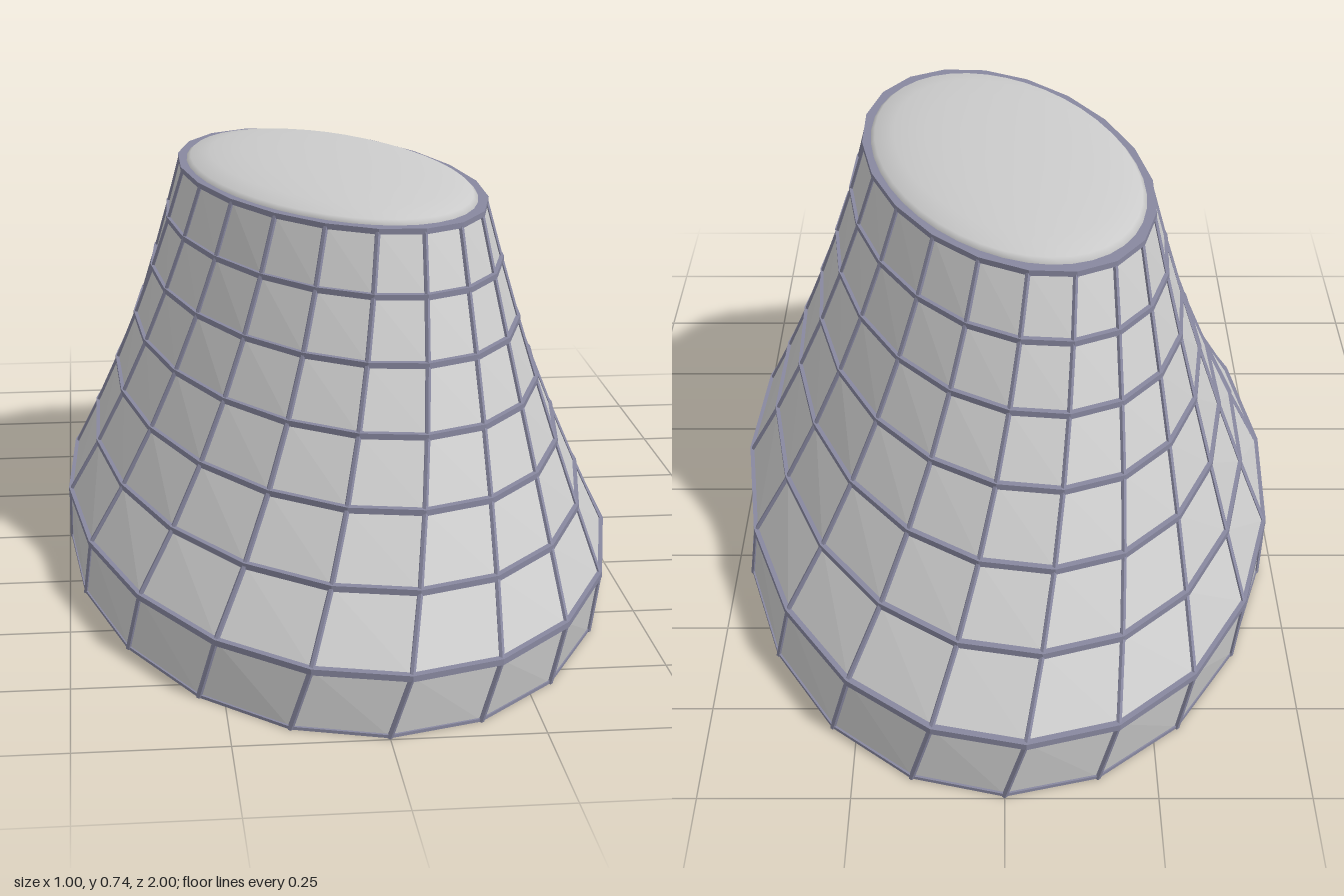
import * as THREE from 'three';
import { mergeGeometries } from 'three/addons/utils/BufferGeometryUtils.js';

const SIDES = 20, FLOORS = 7, STEP = 0.1, R = 0.99;
const TWIST = THREE.MathUtils.degToRad(2);

// Size of the oval at a floor: straight ground floor, then halving over six floors
const sizeAt = (k) => R * Math.pow(0.5, Math.max(0, k - 1) / (FLOORS - 1));

// Corner i of the twisted oval at floor k
function corner(i, k) {
  const t = (i / SIDES) * Math.PI * 2, s = sizeAt(k);
  return new THREE.Vector3(0.5 * s * Math.sin(t), k * STEP, s * Math.cos(t))
    .applyAxisAngle(new THREE.Vector3(0, 1, 0), k * TWIST);
}

// Flat band running round the oval at floor k
function ringGeometry(k) {
  const s = sizeAt(k), h = 0.005;
  const profile = [[s + 0.01, -h], [s + 0.01, h], [s - 0.025, h], [s - 0.025, -h], [s + 0.01, -h]]
    .map(([x, y]) => new THREE.Vector2(x, y));
  return new THREE.LatheGeometry(profile, SIDES)
    .scale(0.5, 1, 1).rotateY(k * TWIST).translate(0, k * STEP, 0);
}

// Strut with an oval cross-section between two corners
function strutGeometry(a, b) {
  const g = new THREE.CylinderGeometry(1, 1, 1, 6, 1, true);
  const pos = g.attributes.position, p = new THREE.Vector3();
  for (let v = 0; v < pos.count; v++) {
    p.lerpVectors(a, b, pos.getY(v) + 0.5);
    pos.setXYZ(v, p.x + pos.getX(v) * 0.005, p.y, p.z + pos.getZ(v) * 0.01);
  }
  g.computeVertexNormals();
  return g;
}

export function createModel() {
  const group = new THREE.Group();
  const panelMat = new THREE.MeshStandardMaterial({ color: 0xcccccc, flatShading: true });
  const roofMat = new THREE.MeshStandardMaterial({ color: 0xcccccc });
  const frameMat = new THREE.MeshStandardMaterial({ color: 0x8888a0, flatShading: true });
  const add = (name, geometry, material) => {
    const mesh = new THREE.Mesh(geometry, material);
    mesh.name = name;
    group.add(mesh);
  };

  // Wall panels and the struts between them
  const struts = [], verts = [];
  for (let k = 0; k < FLOORS; k++) {
    for (let i = 0; i < SIDES; i++) {
      const a = corner(i, k), b = corner(i + 1, k);
      const c = corner(i + 1, k + 1), d = corner(i, k + 1);
      for (const p of [a, b, d, b, c, d]) verts.push(p.x, p.y, p.z);
      struts.push(strutGeometry(a, d));
    }
  }
  const wall = new THREE.BufferGeometry();
  wall.setAttribute('position', new THREE.Float32BufferAttribute(verts, 3));
  wall.computeVertexNormals();
  add('wallPanels', wall, panelMat);
  add('struts', mergeGeometries(struts), frameMat);

  // Floor bands
  for (let k = 1; k <= FLOORS; k++) add('floorBand' + k, ringGeometry(k), frameMat);

  // Base plate
  const base = new THREE.CylinderGeometry(R + 0.005, R + 0.005, 0.005, SIDES)
    .scale(0.5, 1, 1).translate(0, 0.0025, 0);
  add('basePlate', base, frameMat);

  // Shallow domed roof
  const r = sizeAt(FLOORS) * 0.975;
  const roof = new THREE.SphereGeometry(1, 40, 5, 0, Math.PI * 2, 0, Math.PI / 2)
    .scale(0.5 * r, 0.04, r).rotateY(FLOORS * TWIST).translate(0, FLOORS * STEP, 0);
  add('roof', roof, roofMat);

  return group;
}
